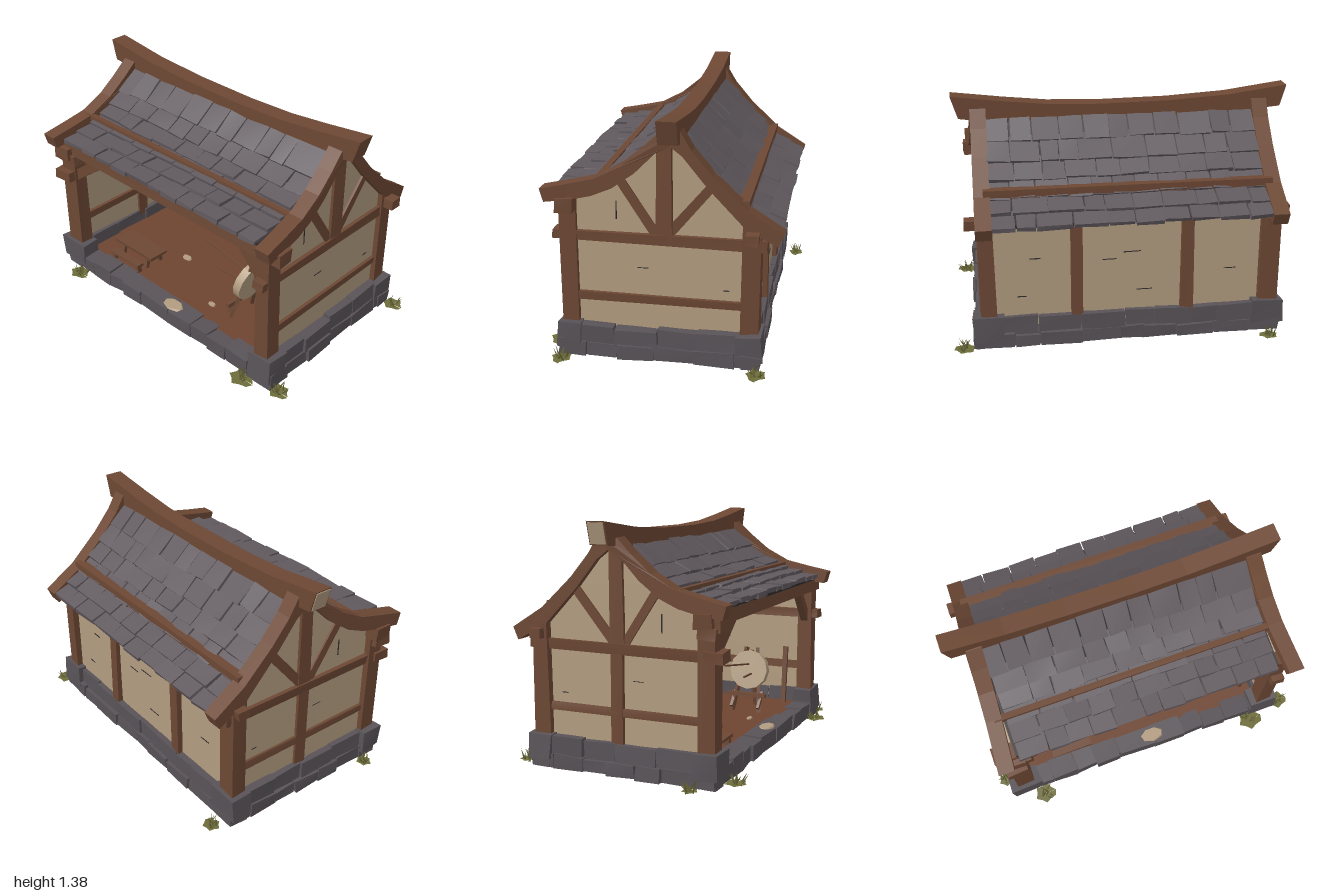
import * as THREE from 'three';
import { mergeGeometries } from 'three/addons/utils/BufferGeometryUtils.js';

const mat = (name, color, side = THREE.FrontSide) => {
  const m = new THREE.MeshStandardMaterial({ color, side });
  m.name = name;
  return m;
};

export function createModel() {
  const root = new THREE.Group();
  root.name = 'openShed';
  const wood = mat('wood', 0x6d4834);
  const plaster = mat('plaster', 0xb29c80);
  const stone = mat('stone', 0x595358);
  const slate = mat('slate', 0x60595e);
  const dark = mat('darkGap', 0x2e2a2c, THREE.DoubleSide);
  const dirt = mat('dirt', 0x6e4531);
  const grass = mat('grass', 0x6d6c3a, THREE.DoubleSide);

  let seed = 7;
  const rnd = (a = 0, b = 1) => {
    seed = (seed * 16807) % 2147483647;
    return a + (b - a) * (seed / 2147483647);
  };
  const add = (name, geo, m, parent = root) => {
    const mesh = new THREE.Mesh(geo, m);
    mesh.name = name;
    parent.add(mesh);
    return mesh;
  };
  const group = (name) => {
    const g = new THREE.Group();
    g.name = name;
    root.add(g);
    return g;
  };
  // Box with its eight corners nudged, for a hand-cut look
  const hewn = (w, h, d, j = 0.006) => {
    const g = new THREE.BoxGeometry(w, h, d), p = g.attributes.position;
    const shift = Array.from({ length: 24 }, () => rnd(-j, j));
    for (let i = 0; i < p.count; i++) {
      const k = 3 * ((p.getX(i) > 0 ? 1 : 0) + (p.getY(i) > 0 ? 2 : 0) + (p.getZ(i) > 0 ? 4 : 0));
      p.setXYZ(i, p.getX(i) + shift[k], p.getY(i) + shift[k + 1], p.getZ(i) + shift[k + 2]);
    }
    g.computeVertexNormals();
    return g;
  };
  // Box given by its limits on each axis
  const block = (x0, x1, y0, y1, z0, z1, j) =>
    hewn(x1 - x0, y1 - y0, z1 - z0, j).translate((x0 + x1) / 2, (y0 + y1) / 2, (z0 + z1) / 2);
  // Timber between two points
  const beam = (name, a, b, w, h, parent = root, m = wood) => {
    const A = new THREE.Vector3(...a), B = new THREE.Vector3(...b);
    const mesh = add(name, hewn(w, h, A.distanceTo(B), Math.min(w, h) * 0.06), m, parent);
    mesh.position.copy(A).lerp(B, 0.5);
    mesh.lookAt(B);
    return mesh;
  };
  // Outline in (z, y), extruded from x0 to x1
  const sideShape = (pts, x0, x1) => {
    const s = new THREE.Shape(pts.map((p) => new THREE.Vector2(...p)));
    return new THREE.ExtrudeGeometry(s, { depth: x1 - x0, bevelEnabled: false }).rotateY(-Math.PI / 2).translate(x1, 0, 0);
  };

  // Base, floor and stone courses
  const base = group('foundation');
  add('baseSlab', block(-0.87, 0.85, 0.005, 0.09, -0.52, 0.54, 0), stone, base);
  add('dirtFloor', block(-0.8, 0.78, 0.08, 0.1, -0.46, 0.47, 0), dirt, base);
  const rocks = [];
  const course = (alongX, from, to, y0, y1, c0, c1) => {
    for (let t = from; t < to - 0.02;) {
      let e = t + rnd(0.13, 0.26);
      if (to - e < 0.09) e = to;
      const top = y1 + rnd(-0.008, 0.008), o = rnd(-0.008, 0.008);
      rocks.push(alongX ? block(t + 0.002, e - 0.002, y0, top, c0 + o, c1 + o) : block(c0 + o, c1 + o, y0, top, t + 0.002, e - 0.002));
      t = e;
    }
  };
  course(true, -0.9, 0.88, 0.01, 0.108, 0.44, 0.56);
  course(true, -0.9, 0.88, 0.01, 0.085, -0.545, -0.44);
  course(true, -0.78, 0.76, 0.08, 0.185, -0.53, -0.42);
  for (const [a, b] of [[-0.9, -0.78], [0.75, 0.875]]) {
    course(false, -0.54, 0.56, 0.01, 0.085, a, b);
    course(false, -0.44, 0.45, 0.08, 0.185, a + 0.01, b - 0.015);
  }
  add('stoneCourses', mergeGeometries(rocks), stone, base);

  // Corner posts on stone feet
  for (const [x0, x1] of [[-0.88, -0.77], [0.745, 0.835]])
    for (const [z0, z1, top] of [[0.46, 0.55, 0.93], [-0.53, -0.435, 0.83]]) {
      add('cornerFoot', block(x0 - 0.035, x1 + 0.04, 0.06, 0.2, z0 - 0.02, z1 + 0.02, 0.01), stone, base);
      add('cornerPost', block(x0, x1, 0.18, top, z0, z1), wood);
    }

  // Gable walls with timber framing
  const gable = [[0.5, 0.12], [0.5, 0.92], [0.34, 0.965], [0.2, 1.04], [0.02, 1.2], [-0.06, 1.25],
    [-0.12, 1.19], [-0.25, 1.04], [-0.48, 0.81], [-0.48, 0.12]].reverse();
  for (const [side, wx] of [[1, 0.79], [-1, -0.83]]) {
    const g = group(side > 0 ? 'leftGable' : 'rightGable');
    add('gablePlaster', sideShape(gable, wx - 0.015, wx + 0.015), plaster, g);
    add('tieBeam', block(wx - 0.04, wx + 0.04, 0.67, 0.73, -0.56, 0.59), wood, g);
    add('middleRail', block(wx - 0.032, wx + 0.032, 0.33, 0.378, -0.46, 0.48), wood, g);
    add('kingPost', block(wx - 0.035, wx + 0.035, 0.7, 1.22, -0.065, 0.02), wood, g);
    beam('gableBrace', [wx, 0.72, 0.02], [wx, 1.04, 0.23], 0.055, 0.05, g);
    beam('gableBrace', [wx, 0.72, -0.03], [wx, 1.01, -0.27], 0.055, 0.05, g);
    if (side < 0) add('lowerPost', block(wx - 0.035, wx + 0.035, 0.15, 0.7, -0.055, 0.02), wood, g);
    const out = wx + side * 0.016;
    for (const [y, z, w, h] of [[0.85, 0.24, 0.006, 0.1], [0.43, -0.35, 0.035, 0.005], [0.53, 0.1, 0.06, 0.004]])
      add('plasterCrack', block(out - 0.002, out + 0.002, y - h / 2, y + h / 2, z - w / 2, z + w / 2, 0.001), dark, g);
  }

  // Back wall
  const back = group('backWall');
  add('backPlaster', block(-0.8, 0.78, 0.12, 0.83, -0.495, -0.465, 0), plaster, back);
  for (const [x0, x1] of [[-0.38, -0.31], [0.255, 0.32]])
    add('backPost', block(x0, x1, 0.15, 0.82, -0.525, -0.435), wood, back);
  add('backPlate', block(-0.93, 0.9, 0.73, 0.79, -0.525, -0.45), wood, back);
  for (const s of [-1, 1]) beam('postBrace', [0.29, 0.71, -0.43], [0.29 + s * 0.05, 0.82, -0.43], 0.03, 0.03, back);
  for (const [x, y, w] of [[-0.03, 0.54, 0.1], [0.1, 0.5, 0.08], [-0.1, 0.3, 0.09], [0.52, 0.53, 0.06], [-0.6, 0.4, 0.07], [0.6, 0.3, 0.05]])
    for (const z of [-0.464, -0.496])
      add('plasterCrack', block(x - w / 2, x + w / 2, y, y + 0.005, z - 0.002, z + 0.002, 0.001), dark, back);

  // Front header and its knee braces
  const front = group('frontFrame');
  add('header', block(-0.93, 0.9, 0.85, 0.925, 0.45, 0.55), wood, front);
  beam('kneeBrace', [-0.79, 0.69, 0.5], [-0.54, 0.87, 0.5], 0.055, 0.06, front);
  beam('kneeBrace', [0.77, 0.66, 0.5], [0.58, 0.87, 0.5], 0.045, 0.05, front);
  add('bracket', block(-0.92, -0.73, 0.79, 0.85, 0.47, 0.57), wood, front);
  add('bracket', block(-0.9, -0.77, 0.83, 0.9, 0.53, 0.59), wood, front);
  add('bracket', block(-0.895, -0.77, 0.67, 0.73, 0.5, 0.595), wood, front);

  // Roof: height of the slate bed at any z
  const bed = [[-0.66, 0.735], [-0.45, 0.865], [-0.25, 1.06], [-0.1, 1.23], [0, 1.225], [0.1, 1.125], [0.2, 1.05], [0.34, 0.985], [0.62, 0.925]];
  const roofY = (z) => {
    let i = 1;
    while (i < bed.length - 1 && z > bed[i][0]) i++;
    const [a, b] = [bed[i - 1], bed[i]];
    return a[1] + (b[1] - a[1]) * (z - a[0]) / (b[0] - a[0]);
  };
  const roof = group('roof');
  const deck = bed.map(([z, y]) => [Math.max(-0.59, Math.min(0.55, z)), y]).map(([z]) => [z, roofY(z)]);
  add('roofDeck', sideShape([...deck.map(([z, y]) => [z, y - 0.02]), ...deck.reverse()], -0.81, 0.77), dark, roof);

  // Slates in overlapping rows
  const slates = [];
  for (const rows of [[-0.01, 0.1, 0.19, 0.28, 0.36, 0.46, 0.565], [-0.1, -0.19, -0.28, -0.36, -0.44, -0.53, -0.615]])
    for (let r = 0; r + 1 < rows.length; r++) {
      const z0 = rows[r], z1 = rows[r + 1], y0 = roofY(z0), y1 = roofY(z1);
      for (let x = -0.8; x < 0.74;) {
        let e = x + rnd(0.1, 0.2);
        if (0.76 - e < 0.08) e = 0.76;
        const len = Math.hypot(z1 - z0, y1 - y0) + 0.03 + rnd(0, 0.015);
        const lift = rnd(0.006, 0.014);
        const dz = z1 - z0, dy = y1 - y0 + 0.018;
        slates.push(hewn(e - x - 0.007, 0.026, len, 0.005).rotateX(-Math.atan2(dy, dz))
          .translate((x + e) / 2, (y0 + y1) / 2 + lift, (z0 + z1) / 2));
        x = e;
      }
    }
  add('slates', mergeGeometries(slates), slate, roof);

  // Purlins lying on the slates
  beam('frontPurlin', [-0.86, 1.015, 0.335], [0.84, 1.01, 0.335], 0.035, 0.04, roof);
  beam('backPurlin', [-0.84, 0.905, -0.435], [0.79, 0.91, -0.435], 0.055, 0.05, roof);

  // Curved bargeboards that flare toward the eaves
  const barge = [[0.63, 0.972], [0.48, 1.003], [0.34, 1.035], [0.2, 1.11], [0.09, 1.2], [0, 1.285], [-0.11, 1.3], [-0.17, 1.2], [-0.28, 1.07],
    [-0.46, 0.9], [-0.65, 0.78], [-0.62, 0.71], [-0.44, 0.81], [-0.25, 1.01], [-0.12, 1.17], [-0.055, 1.22], [0.02, 1.18],
    [0.13, 1.07], [0.25, 0.985], [0.36, 0.94], [0.48, 0.915], [0.61, 0.9]];
  for (const [s, x] of [[1, 0.795], [-1, -0.835]]) {
    const g = sideShape(barge, x - 0.045, x + 0.045).toNonIndexed ? sideShape(barge, x - 0.045, x + 0.045) : null;
    const p = g.attributes.position;
    for (let i = 0; i < p.count; i++) {
      const z = p.getZ(i);
      p.setX(i, p.getX(i) + s * (z > 0 ? z * 0.08 : s < 0 ? -z * 0.015 : 0));
    }
    g.computeVertexNormals();
    add('bargeboard', g, wood, roof);
  }

  // Sagging ridge beam with a pale sawn end
  const ridge = new THREE.Shape([[-0.965, 1.25], [-0.8, 1.235], [-0.4, 1.2], [0.4, 1.2], [0.84, 1.235], [0.905, 1.245], [0.945, 1.375],
    [0.65, 1.338], [0.4, 1.312], [0.1, 1.302], [-0.3, 1.307], [-0.65, 1.328], [-1, 1.375]].map((p) => new THREE.Vector2(...p)));
  add('ridgeBeam', new THREE.ExtrudeGeometry(ridge, { depth: 0.105, bevelEnabled: false }).translate(0, 0, -0.11), wood, roof);
  const sawn = add('ridgeEnd', new THREE.BoxGeometry(0.006, 0.115, 0.09), plaster, roof);
  sawn.position.set(-0.984, 1.312, -0.058);
  sawn.rotation.z = 0.27;

  // Low table with a bench beside it
  const table = group('table');
  add('tableTop', block(-0.65, -0.31, 0.175, 0.195, 0.22, 0.36, 0.004), wood, table);
  add('benchTop', block(-0.61, -0.35, 0.145, 0.16, 0.39, 0.44, 0.003), wood, table);
  for (const x of [-0.59, -0.37]) {
    for (const s of [-1, 1]) beam('tableLeg', [x, 0.1, 0.29 + s * 0.06], [x, 0.18, 0.29 + s * 0.04], 0.025, 0.025, table);
    add('benchLeg', block(x - 0.012, x + 0.012, 0.1, 0.148, 0.4, 0.43, 0.002), wood, table);
  }

  // Straw target on a trestle, with arrows
  const target = group('target');
  const butt = add('strawButt', new THREE.CylinderGeometry(0.125, 0.125, 0.05, 12).rotateZ(Math.PI / 2), plaster, target);
  butt.position.set(0.43, 0.36, 0.24);
  butt.rotation.z = -0.2;
  for (const z of [0.15, 0.33]) {
    beam('frontLeg', [0.36, 0.1, z], [0.475, 0.5, 0.24 + (z - 0.24) * 0.4], 0.022, 0.022, target);
    beam('crossFoot', [0.34, 0.13, z], [0.42, 0.22, z], 0.018, 0.018, target);
  }
  beam('backLeg', [0.55, 0.1, 0.24], [0.46, 0.48, 0.24], 0.022, 0.022, target);
  beam('crossBar', [0.37, 0.21, 0.11], [0.37, 0.21, 0.37], 0.025, 0.025, target);
  beam('arrow', [0.05, 0.455, 0.22], [0.41, 0.4, 0.24], 0.009, 0.009, target);
  beam('arrow', [0.22, 0.355, 0.28], [0.41, 0.34, 0.26], 0.009, 0.009, target);
  beam('leaningPlank', [0.7, 0.1, 0.38], [0.735, 0.47, 0.38], 0.03, 0.02);

  // Pale stepping stones and grass tufts
  for (const [x, y, z, r] of [[0.04, 0.11, 0.5, 0.08], [0.2, 0.103, 0.33, 0.03], [-0.25, 0.103, 0.1, 0.04], [0.45, 0.103, -0.1, 0.04]])
    add('paleStone', new THREE.CylinderGeometry(r * 0.85, r, 0.012, 7).toNonIndexed().scale(1, 1, 0.6).translate(x, y, z), plaster);
  for (const [x, z, r] of [[-0.94, 0.44, 0.05], [-0.73, 0.61, 0.07], [0.7, 0.6, 0.08], [0.92, 0.54, 0.065], [0.93, -0.53, 0.065], [-0.82, -0.62, 0.055]]) {
    const tuft = group('grassTuft');
    const patch = new THREE.CircleGeometry(r, 11).rotateX(-Math.PI / 2), p = patch.attributes.position;
    for (let i = 1; i < 12; i++) p.setXYZ(i, p.getX(i) * (i % 2 ? 1 : 0.75), 0.006, p.getZ(i) * (i % 2 ? 0.9 : 0.7));
    add('leafPatch', patch.translate(x, 0.008, z), grass, tuft);
    for (let i = 0; i < 9; i++) {
      const blade = add('blade', new THREE.ConeGeometry(0.008, rnd(0.06, 0.09), 3).translate(0, 0.035, 0), grass, tuft);
      blade.position.set(x + rnd(-0.4, 0.4) * r, 0.005, z + rnd(-0.4, 0.4) * r);
      blade.rotation.set(rnd(-0.7, 0.7), 0, rnd(-0.7, 0.7));
    }
  }
  return root;
}
